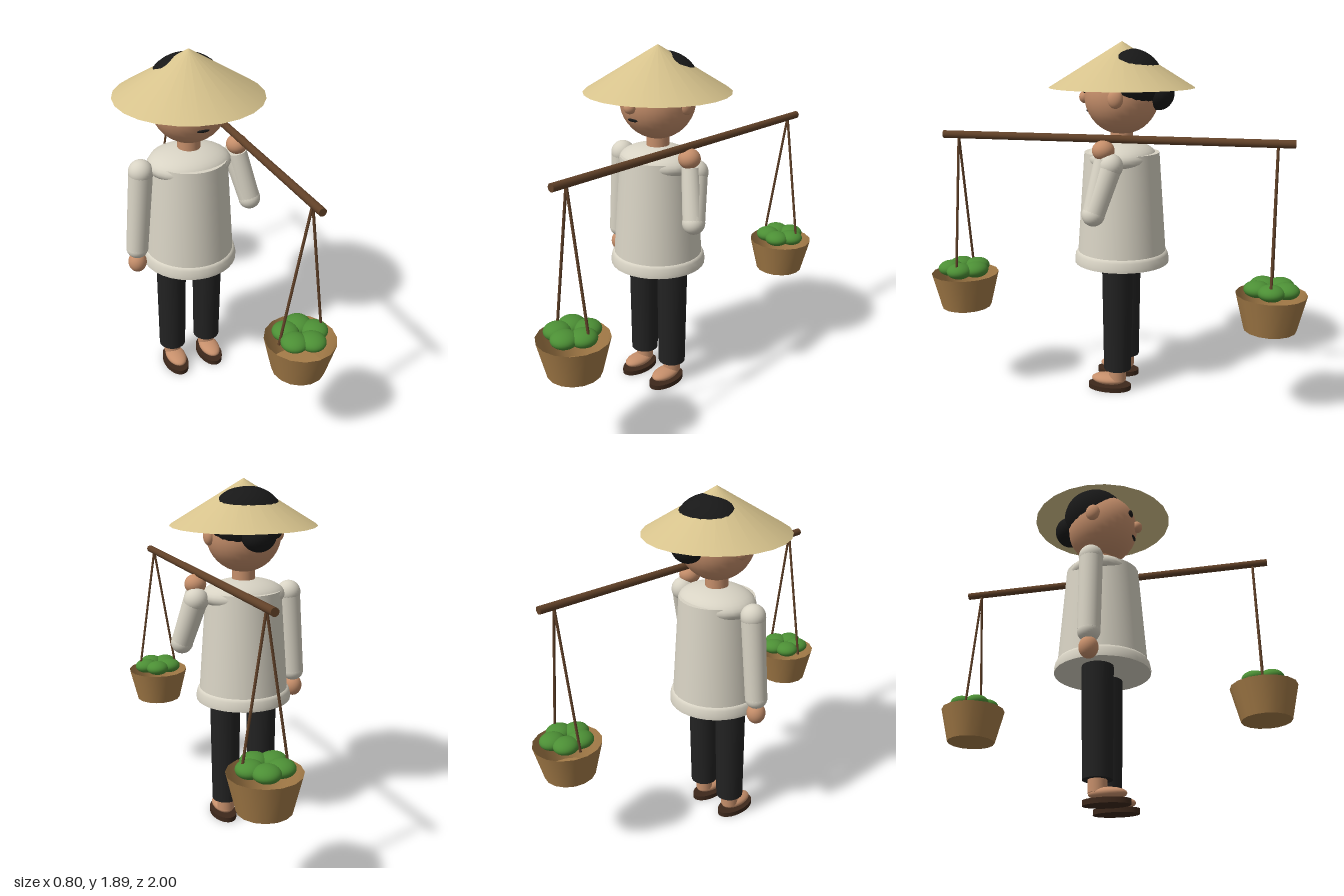
import * as THREE from 'three';

const mat = (name, color, side = THREE.FrontSide) => {
  const m = new THREE.MeshStandardMaterial({ color, side });
  m.name = name;
  return m;
};

export function createModel() {
  const root = new THREE.Group();
  root.name = 'basketCarrier';

  const straw = mat('straw', 0xd6c28c, THREE.DoubleSide);
  const skin = mat('skin', 0xc68f6b);
  const cloth = mat('shirtCloth', 0xd8d3c4);
  const trousers = mat('trouserCloth', 0x222222);
  const black = mat('black', 0x181818);
  const wicker = mat('wicker', 0xa57c48, THREE.DoubleSide);
  const green = mat('greenFruit', 0x4c8f35);
  const wood = mat('wood', 0x614128);
  const leather = mat('sandalLeather', 0x3d281b);

  const add = (parent, name, geometry, material, x = 0, y = 0, z = 0) => {
    const m = new THREE.Mesh(geometry, material);
    m.name = name;
    m.position.set(x, y, z);
    parent.add(m);
    return m;
  };
  const ellipsoid = (parent, name, material, [x, y, z], [rx, ry, rz]) => {
    const m = add(parent, name, new THREE.SphereGeometry(1, 28, 20), material, x, y, z);
    m.scale.set(rx, ry, rz);
    return m;
  };
  // Tapered round bar between two points
  const bar = (parent, name, material, a, b, ra, rb = ra, sides = 20) => {
    const p = new THREE.Vector3(...a), q = new THREE.Vector3(...b);
    const d = q.clone().sub(p);
    const m = add(parent, name, new THREE.CylinderGeometry(rb, ra, d.length(), sides), material);
    m.position.copy(p).add(q).multiplyScalar(0.5);
    m.quaternion.setFromUnitVectors(new THREE.Vector3(0, 1, 0), d.normalize());
    return m;
  };

  // Person stands slightly to the right of the middle
  const person = new THREE.Group();
  person.name = 'person';
  person.position.x = -0.02;
  root.add(person);

  // Hat, open underneath
  add(person, 'hat', new THREE.ConeGeometry(0.383, 0.235, 24, 1, true), straw, 0, 1.7725, 0);

  // Head and hair
  ellipsoid(person, 'head', skin, [0, 1.612, 0], [0.197, 0.2, 0.197]);
  ellipsoid(person, 'hair', black, [0, 1.68, -0.04], [0.2, 0.175, 0.18]);
  ellipsoid(person, 'hairBun', black, [0, 1.625, -0.195], [0.09, 0.085, 0.082]);
  ellipsoid(person, 'nose', skin, [0, 1.602, 0.2], [0.033, 0.033, 0.031]);
  ellipsoid(person, 'mouth', black, [0, 1.534, 0.181], [0.033, 0.008, 0.008]);
  add(person, 'neck', new THREE.CylinderGeometry(0.06, 0.06, 0.12, 24), skin, 0, 1.38, 0);

  // Shirt: flared body with a hem band and a rounded yoke
  const profile = (pts) => new THREE.LatheGeometry(pts.map(([r, y]) => new THREE.Vector2(r, y)), 32);
  add(person, 'shirtBody', profile([[0.24, 0.76], [0.2, 1.317]]), cloth);
  add(person, 'shirtTop', new THREE.CylinderGeometry(0.2, 0.2, 0.004, 32), cloth, 0, 1.315, 0);
  add(person, 'shirtHem', profile([[0.225, 0.785], [0.242, 0.78], [0.251, 0.765], [0.257, 0.735], [0.257, 0.718]].reverse()), cloth);
  add(person, 'shirtUnderside', new THREE.CylinderGeometry(0.256, 0.256, 0.004, 32), cloth, 0, 0.718, 0);
  ellipsoid(person, 'shirtYoke', cloth, [0, 1.29, 0], [0.225, 0.088, 0.185]);

  for (const s of [-1, 1]) {
    const side = s > 0 ? 'left' : 'right';
    ellipsoid(person, side + 'Ear', skin, [s * 0.195, 1.608, -0.01], [0.028, 0.048, 0.04]);
    ellipsoid(person, side + 'Eye', black, [s * 0.073, 1.647, 0.18], [0.027, 0.02, 0.012]);
    ellipsoid(person, side + 'Shoulder', cloth, [s * 0.265, 1.28, 0], [0.065, 0.065, 0.065]);

    // Leg, foot and sandal
    const x = s * 0.1075;
    bar(person, side + 'TrouserLeg', trousers, [x, 0.125, 0], [x, 0.74, 0], 0.075, 0.083, 24);
    bar(person, side + 'Ankle', skin, [x, 0.06, 0], [x, 0.14, 0], 0.048);
    ellipsoid(person, side + 'Foot', skin, [x, 0.056, 0.05], [0.055, 0.031, 0.096]);
    const sandal = add(person, side + 'Sandal', new THREE.CylinderGeometry(1, 1, 0.027, 28), leather, x, 0.0135, 0.045);
    sandal.scale.set(0.067, 1, 0.12);
  }

  // Hanging right arm
  bar(person, 'rightSleeve', cloth, [-0.3, 0.83, 0], [-0.265, 1.28, 0], 0.059, 0.063);
  ellipsoid(person, 'rightCuff', cloth, [-0.3, 0.83, 0], [0.059, 0.055, 0.059]);
  ellipsoid(person, 'rightHand', skin, [-0.302, 0.742, 0], [0.05, 0.058, 0.05]);

  // Bent left arm holding the pole
  const elbow = [0.322, 1.04, 0.075];
  bar(person, 'leftUpperSleeve', cloth, elbow, [0.265, 1.28, 0], 0.058, 0.062);
  ellipsoid(person, 'leftElbow', cloth, elbow, [0.059, 0.059, 0.059]);
  bar(person, 'leftForearmSleeve', cloth, elbow, [0.262, 1.31, 0.035], 0.057, 0.048);
  ellipsoid(person, 'leftHand', skin, [0.255, 1.357, 0.038], [0.057, 0.052, 0.057]);

  // Carrying pole
  const px = 0.222;
  bar(root, 'carryingPole', wood, [px, 1.415, -0.903], [px, 1.415, 0.903], 0.02, 0.02, 16);

  // Baskets with fruit and cords
  for (const s of [-1, 1]) {
    const load = new THREE.Group();
    load.name = s > 0 ? 'frontLoad' : 'backLoad';
    load.position.set(px, 0, s * 0.82);
    root.add(load);
    add(load, 'basketWall', new THREE.CylinderGeometry(0.179, 0.133, 0.188, 16, 1, true), wicker, 0, 0.57, 0);
    add(load, 'basketBottom', new THREE.CylinderGeometry(0.133, 0.133, 0.004, 16), wicker, 0, 0.478, 0);
    for (let i = 0; i < 5; i++) {
      const a = (i / 5) * Math.PI * 2;
      ellipsoid(load, 'fruit', green, [Math.cos(a) * 0.075, 0.69, Math.sin(a) * 0.075], [0.067, 0.041, 0.067]);
    }
    for (const side of [-1, 1]) {
      bar(load, 'cord', wood, [side * 0.118, 0.66, 0], [0, 1.412, 0], 0.007, 0.007, 8);
    }
  }
  return root;
}
